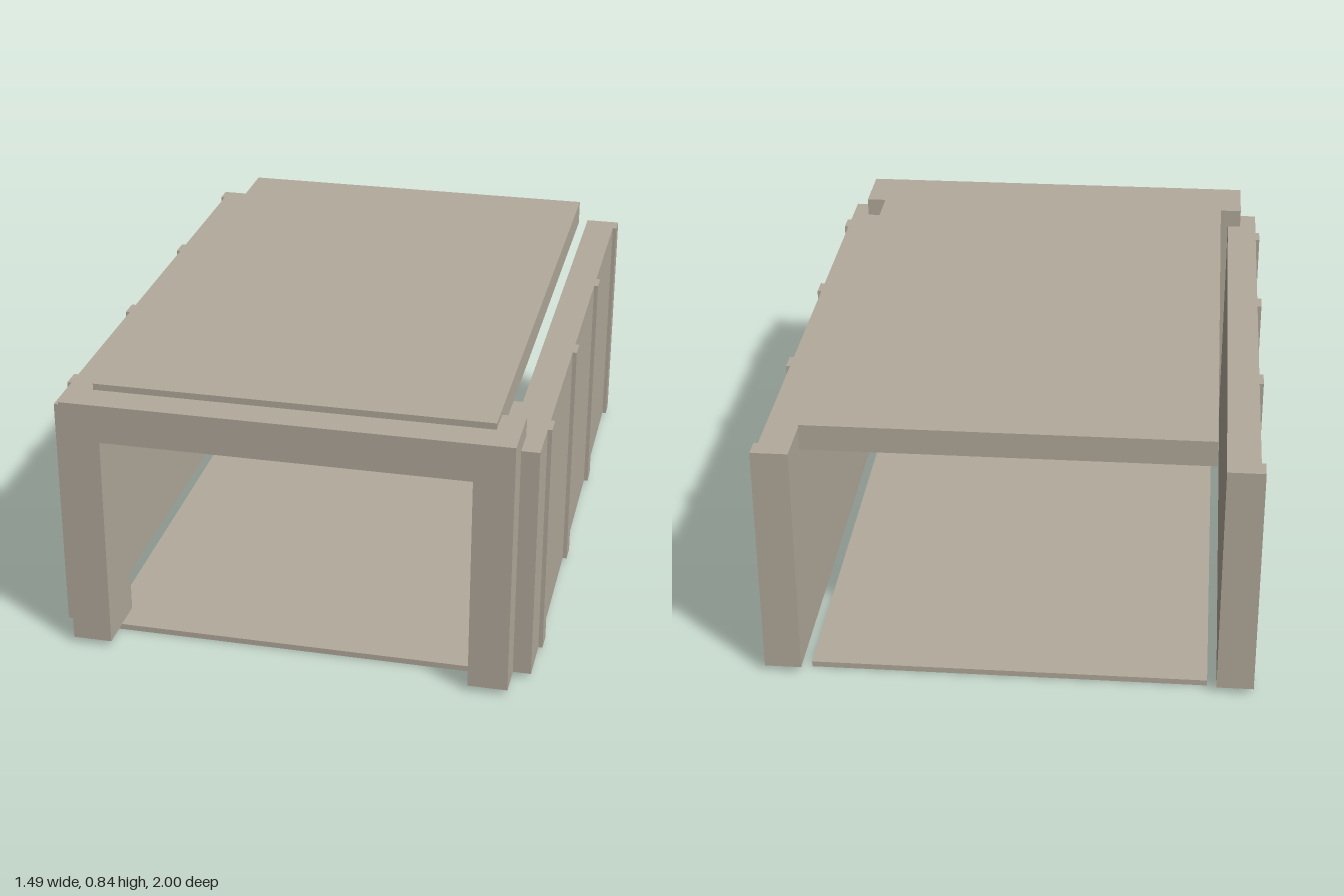
import * as THREE from 'three';

export function createModel() {
  const group = new THREE.Group();
  const concrete = new THREE.MeshStandardMaterial({ color: 0xb3ab9c });
  concrete.name = 'warm grey concrete';

  // Adds a box given by its lower and upper corners
  function addBox(name, x0, x1, y0, y1, z0, z1) {
    const geometry = new THREE.BoxGeometry(x1 - x0, y1 - y0, z1 - z0);
    geometry.translate((x0 + x1) / 2, (y0 + y1) / 2, (z0 + z1) / 2);
    addMesh(name, geometry);
  }
  function addMesh(name, geometry) {
    const mesh = new THREE.Mesh(geometry, concrete);
    mesh.name = name;
    group.add(mesh);
  }

  // Thin floor and thicker roof slab
  addBox('floor', -0.604, 0.604, 0, 0.018, -0.967, 0.897);
  addBox('roof', -0.604, 0.604, 0.762, 0.842, -0.967, 0.897);

  // Front portal: two legs and a lintel in one outline
  const outline = [
    [-0.676, 0.018], [-0.556, 0.018], [-0.556, 0.702], [0.556, 0.702],
    [0.556, 0.018], [0.676, 0.018], [0.676, 0.822], [-0.676, 0.822],
  ];
  const portal = new THREE.ExtrudeGeometry(
    new THREE.Shape(outline.map(([x, y]) => new THREE.Vector2(x, y))),
    { depth: 0.203, bevelEnabled: false },
  );
  portal.translate(0, 0, 0.797);
  addMesh('portal', portal);

  // Side walls with shallow outer ribs
  const ribs = [[-1, -0.939], [-0.44, -0.377], [0.121, 0.185], [0.682, 0.744]];
  for (const side of [1, -1]) {
    const label = side > 0 ? 'left' : 'right';
    const addSide = (name, a, b, z0, z1) =>
      addBox(label + name, Math.min(a * side, b * side), Math.max(a * side, b * side), 0.018, 0.762, z0, z1);
    addSide('Wall', 0.632, 0.731, -1, 0.897);
    for (const [z0, z1] of ribs) addSide('Rib', 0.731, 0.744, z0, z1);
  }

  return group;
}
